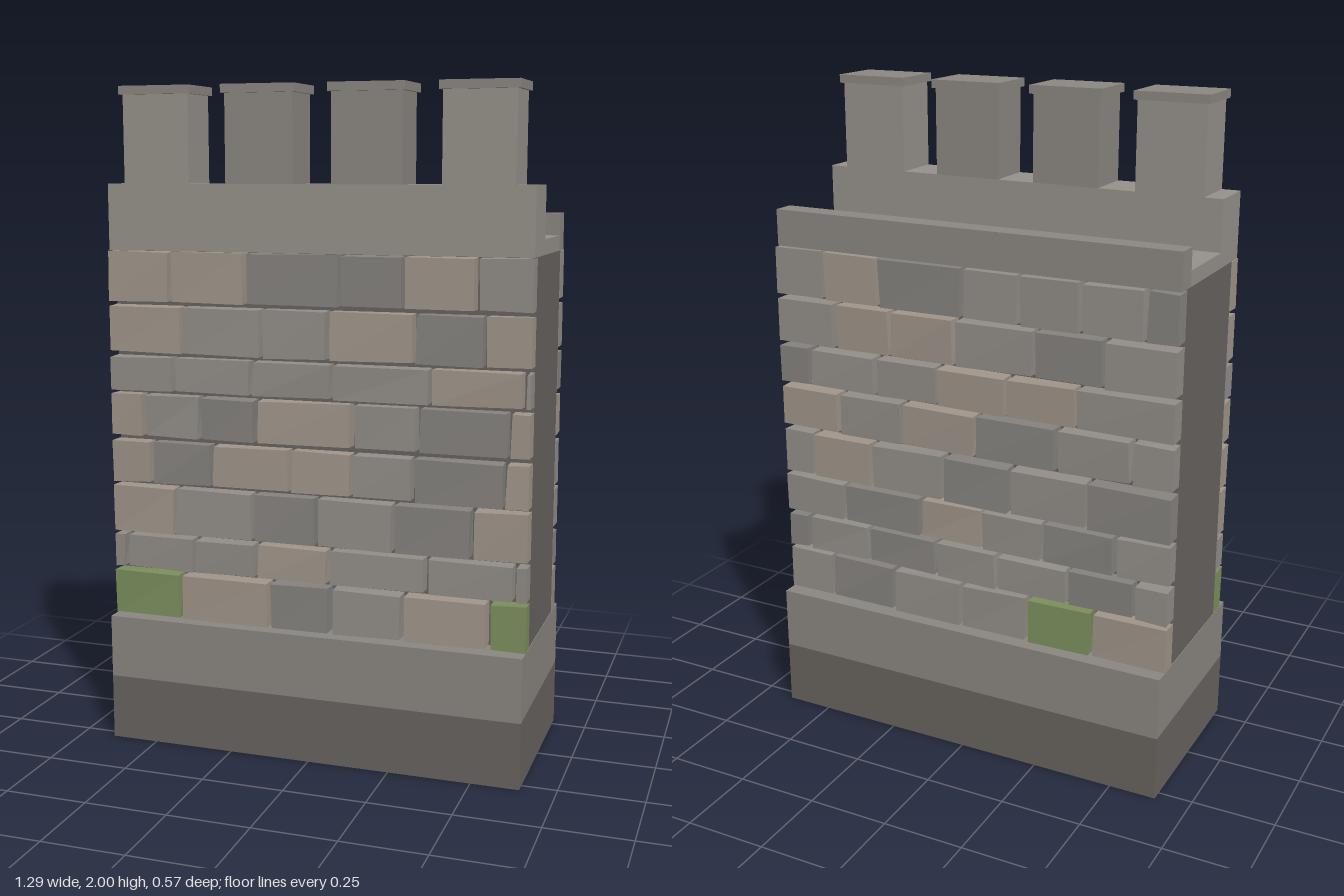
import * as THREE from 'three';

const HALF = 0.645; // half the wall length

const mat = (color) => new THREE.MeshStandardMaterial({ color, flatShading: true });
const mats = {
  dark: mat(0x67635f), plinth: mat(0x8a8680), trim: mat(0x96918a), merlon: mat(0x8b8781),
  d: mat(0x86837f), m: mat(0x928d87), t: mat(0xa0958a), g: mat(0x7b8f5d),
};

// Small seeded generator for the uneven stone faces
let seed = 7;
const jitter = (amount) => {
  seed = (seed * 16807) % 2147483647;
  return (seed / 2147483647 - 0.5) * 2 * amount;
};

// Box given by its limits along each axis
function block(name, material, [x0, x1], [y0, y1], [z0, z1]) {
  const mesh = new THREE.Mesh(new THREE.BoxGeometry(x1 - x0, y1 - y0, z1 - z0), material);
  mesh.position.set((x0 + x1) / 2, (y0 + y1) / 2, (z0 + z1) / 2);
  mesh.name = name;
  return mesh;
}

// Stone with a slightly skewed, uneven outer face
function stone(material, x0, x1, y0, y1) {
  const front = 0.241 + jitter(0.004);
  const mesh = block('stone', material, [x0, x1], [y0, y1], [0.187, front]);
  const p = mesh.geometry.attributes.position;
  const offsets = {};
  for (let i = 0; i < p.count; i++) {
    if (p.getZ(i) < 0) continue;
    const sx = Math.sign(p.getX(i)), sy = Math.sign(p.getY(i));
    const o = (offsets[`${sx},${sy}`] ??= [jitter(0.003), jitter(0.003), jitter(0.003)]);
    const atEnd = Math.abs(sx < 0 ? x0 : x1) >= HALF;
    p.setXYZ(i, p.getX(i) + (atEnd ? 0 : o[0]), p.getY(i) + o[1], p.getZ(i) + o[2]);
  }
  mesh.geometry.computeVertexNormals();
  return mesh;
}

// Each course: bottom, top, joints from left to right, one colour letter per stone
const frontCourses = [
  [0.395, 0.530, [-0.425, -0.135, 0.057, 0.28, 0.535], 'gtdmtg'],
  [0.545, 0.645, [-0.607, -0.38, -0.18, 0.05, 0.348, 0.61], 'mmmtmmm'],
  [0.660, 0.800, [-0.44, -0.187, 0.012, 0.25, 0.483], 'tmdmdt'],
  [0.815, 0.940, [-0.517, -0.32, -0.07, 0.123, 0.306, 0.575], 'tdttmdt'],
  [0.960, 1.085, [-0.54, -0.355, -0.177, 0.123, 0.32, 0.586], 'tmdtmdt'],
  [1.100, 1.200, [-0.44, -0.19, 0.06, 0.356, 0.626], 'mmmmtm'],
  [1.215, 1.355, [-0.41, -0.157, 0.05, 0.308, 0.512], 'tmmtdt'],
  [1.370, 1.517, [-0.445, -0.207, 0.086, 0.274, 0.486], 'ttddtm'],
];
const backCourses = [
  [0.395, 0.530, [-0.49, -0.26, -0.02, 0.2, 0.41], 'mdmmgt'],
  [0.545, 0.650, [-0.57, -0.35, -0.11, 0.1, 0.33, 0.54], 'dmdmmdm'],
  [0.668, 0.785, [-0.43, -0.16, 0.05, 0.25, 0.48], 'mdtmdm'],
  [0.800, 0.935, [-0.54, -0.33, -0.08, 0.14, 0.39], 'mtmdmd'],
  [0.955, 1.080, [-0.44, -0.22, 0.03, 0.29, 0.52], 'tmtdmm'],
  [1.097, 1.210, [-0.54, -0.31, -0.1, 0.13, 0.35], 'dmmttm'],
  [1.227, 1.360, [-0.445, -0.255, -0.04, 0.217, 0.43], 'mttmdm'],
  [1.375, 1.517, [-0.48, -0.29, -0.01, 0.17, 0.36, 0.55], 'mtdmmmd'],
];

function stoneFace(name, courses) {
  const face = new THREE.Group();
  face.name = name;
  for (const [y0, y1, joints, colors] of courses) {
    const edges = [-HALF, ...joints, HALF];
    [...colors].forEach((c, i) => {
      const x0 = edges[i] + (i ? 0.007 : 0);
      const x1 = edges[i + 1] - (i < colors.length - 1 ? 0.007 : 0);
      face.add(stone(mats[c], x0, x1, y0, y1));
    });
  }
  return face;
}

export function createModel() {
  seed = 7;
  const model = new THREE.Group();
  model.name = 'battlementWall';
  const full = [-HALF, HALF];

  // Foundation and core
  model.add(
    block('footing', mats.dark, full, [0, 0.2], [-0.283, 0.283]),
    block('plinth', mats.plinth, full, [0.2, 0.393], [-0.283, 0.283]),
    block('core', mats.dark, [-0.643, 0.643], [0.393, 1.52], [-0.19, 0.19]),
  );

  // Stone facing on both sides
  const back = stoneFace('backStones', backCourses);
  back.rotation.y = Math.PI;
  model.add(stoneFace('frontStones', frontCourses), back);

  // Walkway between the parapet and the low rear kerb
  model.add(
    block('walkway', mats.trim, full, [1.52, 1.565], [-0.16, 0.08]),
    block('parapet', mats.trim, full, [1.52, 1.717], [0.08, 0.23]),
    block('rearKerb', mats.merlon, full, [1.52, 1.63], [-0.228, -0.16]),
  );

  // Capped merlons
  for (const x of [-0.485, -0.162, 0.162, 0.485]) {
    const merlon = new THREE.Group();
    merlon.name = 'merlon';
    merlon.add(
      block('merlonBlock', Math.abs(x) > 0.3 ? mats.trim : mats.merlon,
        [x - 0.104, x + 0.104], [1.717, 1.977], [0.08, 0.23]),
      block('merlonCap', mats.merlon, [x - 0.113, x + 0.113], [1.975, 2], [0.07, 0.24]),
    );
    model.add(merlon);
  }
  return model;
}
